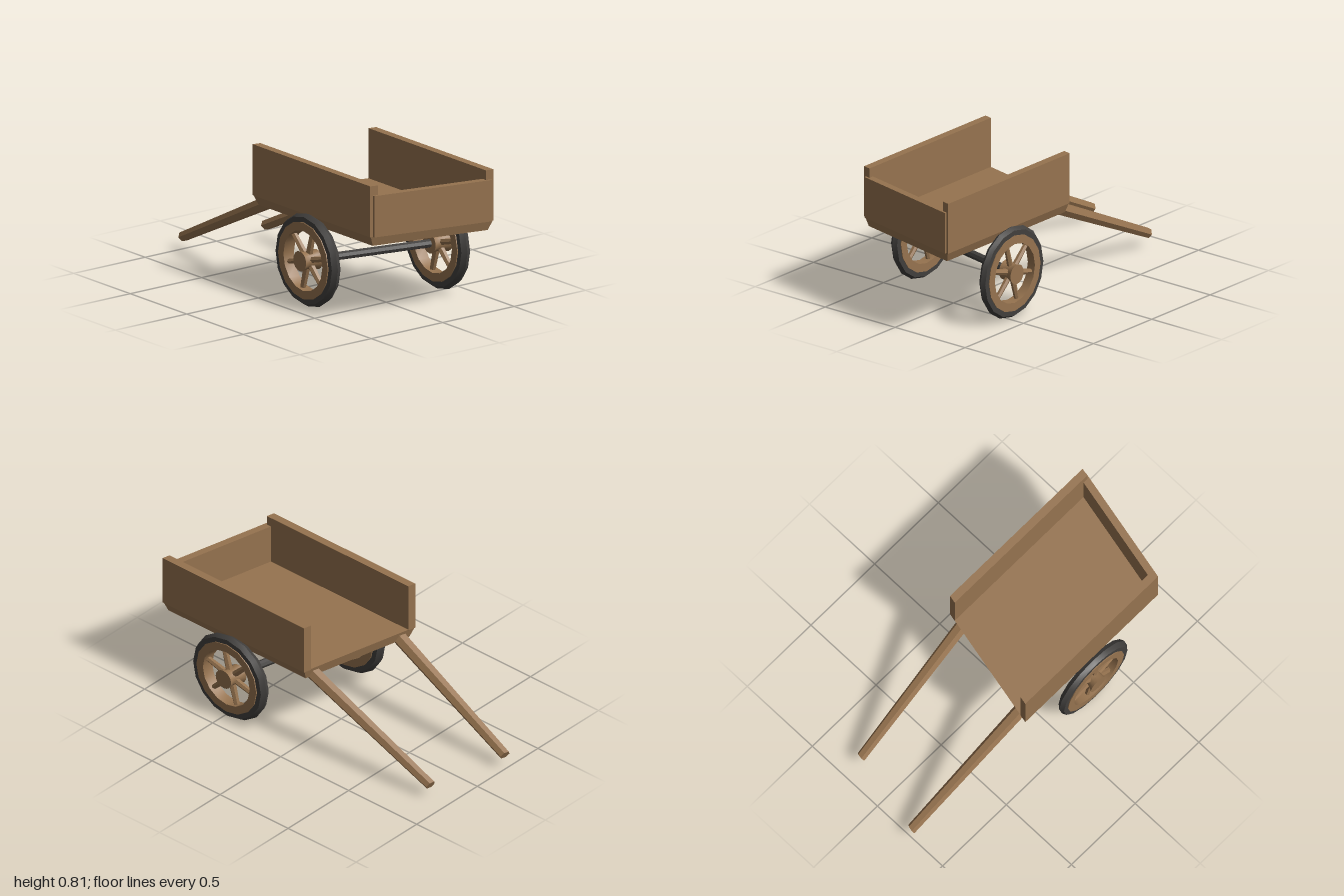
import * as THREE from 'three';
import { mergeGeometries, toCreasedNormals } from 'three/addons/utils/BufferGeometryUtils.js';

const SHEAR = -0.22; // the whole cart is skewed: x shifts with z
const wood = new THREE.MeshStandardMaterial({ name: 'wood', color: 0x96734f });
const iron = new THREE.MeshStandardMaterial({ name: 'darkIron', color: 0x413f3d });

// Skew a geometry along x and sharpen its edges
function addPart(group, name, geo, material) {
  geo.applyMatrix4(new THREE.Matrix4().set(1, 0, SHEAR, 0, 0, 1, 0, 0, 0, 0, 1, 0, 0, 0, 0, 1));
  const mesh = new THREE.Mesh(toCreasedNormals(geo, 0.5), material);
  mesh.name = name;
  group.add(mesh);
}

// Box given by its limits
function block(x0, x1, y0, y1, z0, z1) {
  return new THREE.BoxGeometry(x1 - x0, y1 - y0, z1 - z0)
    .translate((x0 + x1) / 2, (y0 + y1) / 2, (z0 + z1) / 2);
}

// Ring or drum turned around the z axis from [radius, offset] points
function turned(points, sides = 16) {
  return new THREE.LatheGeometry(points.map(([r, h]) => new THREE.Vector2(r, h)), sides)
    .rotateX(Math.PI / 2);
}

// Six-sided tapered pole between two points
function pole(a, b, ra, rb) {
  const dir = b.clone().sub(a);
  const q = new THREE.Quaternion().setFromUnitVectors(new THREE.Vector3(0, 1, 0), dir.clone().normalize());
  return new THREE.CylinderGeometry(rb, ra, dir.length(), 6)
    .applyQuaternion(q)
    .translate((a.x + b.x) / 2, (a.y + b.y) / 2, (a.z + b.z) / 2);
}

function addWheel(group, x, y, z) {
  const wheel = new THREE.Group();
  wheel.name = z > 0 ? 'frontWheel' : 'backWheel';
  group.add(wheel);
  const place = (geo) => geo.translate(x, y, z);

  // Tyre with a peaked tread
  addPart(wheel, 'tyre', place(turned([
    [0.215, -0.026], [0.249, -0.026], [0.265, 0], [0.249, 0.026], [0.215, 0.026], [0.215, -0.026],
  ])), iron);

  // Wooden rim
  addPart(wheel, 'rim', place(turned([
    [0.172, -0.031], [0.22, -0.031], [0.22, 0.031], [0.172, 0.031], [0.172, -0.031],
  ])), wood);

  // Hub, flared at both ends
  addPart(wheel, 'hub', place(turned([
    [0, -0.05], [0.057, -0.05], [0.049, -0.022], [0.049, 0.022], [0.057, 0.05], [0, 0.05],
  ])), wood);

  // Six spokes
  const spokes = [];
  for (let i = 0; i < 6; i++) {
    const a = Math.PI / 12 + i * Math.PI / 3;
    const at = (r) => new THREE.Vector3(Math.cos(a) * r, Math.sin(a) * r, 0);
    spokes.push(pole(at(0.03), at(0.19), 0.019, 0.015));
  }
  addPart(wheel, 'spokes', place(mergeGeometries(spokes)), wood);
}

export function createModel() {
  const cart = new THREE.Group();
  cart.name = 'handcart';

  // Bed, drawn in along its lower edge
  const bed = block(-0.135, 0.905, 0.46, 0.52, -0.365, 0.365);
  const p = bed.attributes.position;
  for (let i = 0; i < p.count; i++) {
    if (p.getY(i) > 0.49) continue;
    p.setX(i, p.getX(i) + (p.getX(i) < 0.4 ? 0.015 : -0.015));
    p.setZ(i, p.getZ(i) - Math.sign(p.getZ(i)) * 0.022);
  }
  addPart(cart, 'bed', bed, wood);

  // Tailgate
  addPart(cart, 'tailgate', block(0.875, 0.918, 0.515, 0.752, -0.352, 0.352), wood);

  // Axle
  const axleX = 0.382, axleY = 0.266;
  addPart(cart, 'axle', new THREE.CylinderGeometry(0.024, 0.024, 0.7, 8)
    .rotateX(Math.PI / 2).translate(axleX, axleY, 0), iron);

  for (const s of [1, -1]) {
    const side = s > 0 ? 'front' : 'back';
    addPart(cart, side + 'Wall',
      block(-0.135, 0.905, 0.515, 0.807, s > 0 ? 0.322 : -0.368, s > 0 ? 0.368 : -0.322), wood);
    addPart(cart, side + 'Handle', pole(
      new THREE.Vector3(-0.93, 0.077, s * 0.246), new THREE.Vector3(-0.1, 0.476, s * 0.287), 0.029, 0.039), wood);
    addWheel(cart, axleX, axleY, s * 0.386);
  }
  return cart;
}
